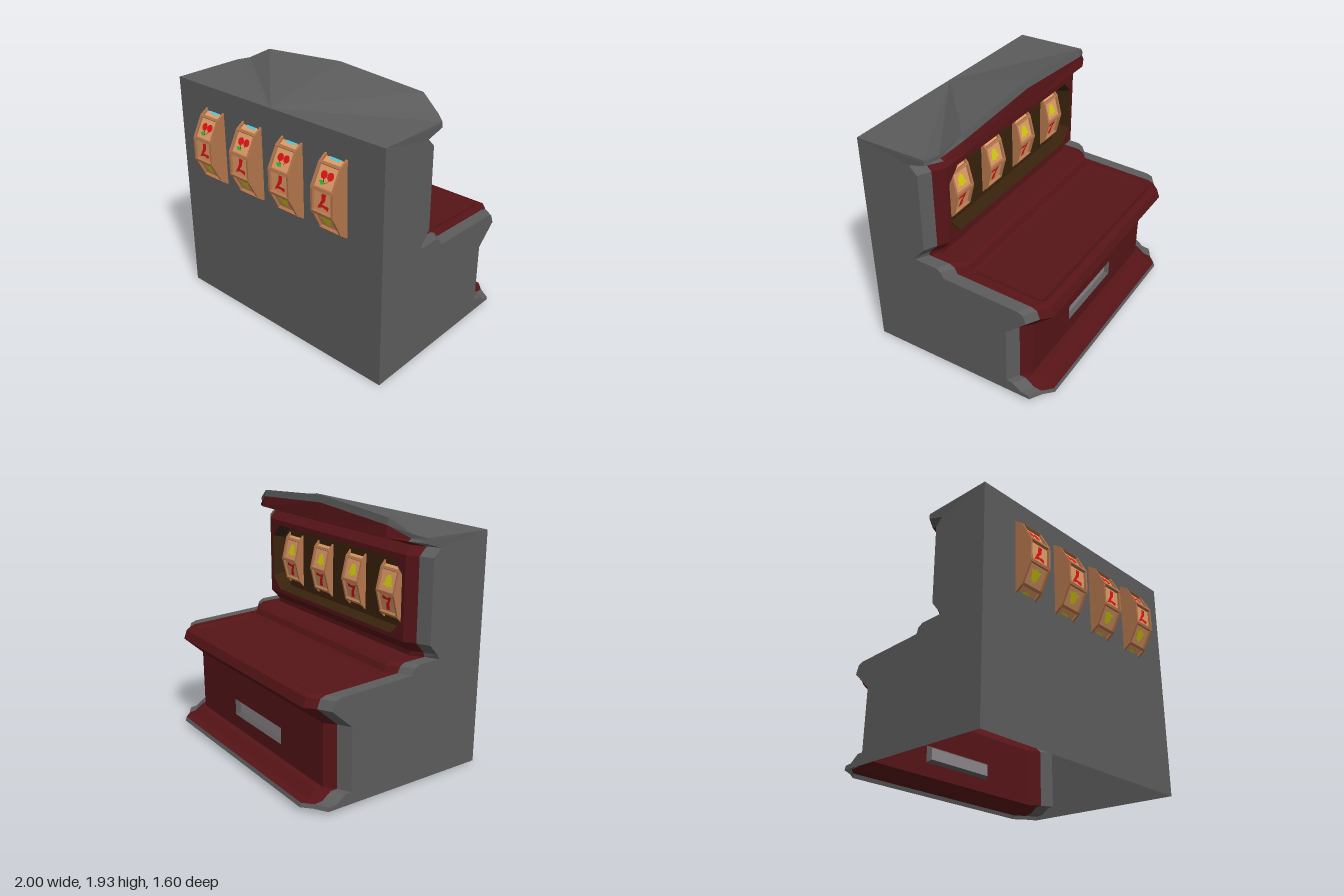
import * as THREE from 'three';

const mat = (color) => new THREE.MeshStandardMaterial({ color, flatShading: true, side: THREE.DoubleSide });
const GREY = mat(0x5c5c5c), RED = mat(0x561417), BROWN = mat(0x38220c), SLOT = mat(0x8c868a);
const TAN = mat(0xe09c68), FRAME = mat(0xb4764c), SCARLET = mat(0xe01414), GREEN = mat(0x2fb52f);
const YELLOW = mat(0xd8d010), CYAN = mat(0x4cc8d8), INK = mat(0x2a1a12);

function add(parent, name, geometry, material, x = 0, y = 0, z = 0) {
  const m = new THREE.Mesh(geometry, material);
  m.name = name;
  m.position.set(x, y, z);
  parent.add(m);
  return m;
}

// Mesh from a list of triangles and quads, each given by its corners
function faces(list) {
  const pos = [];
  for (const f of list)
    for (let i = 1; i < f.length - 1; i++) pos.push(...f[0], ...f[i], ...f[i + 1]);
  const g = new THREE.BufferGeometry();
  g.setAttribute('position', new THREE.Float32BufferAttribute(pos, 3));
  g.computeVertexNormals();
  return g;
}

const poly = (pts) => new THREE.Shape(pts.map(([x, y]) => new THREE.Vector2(x, y)));

// Cabinet profile on the centre line, bottom to top: [z, y]
const PROFILE = [
  [-0.80, 0.04], [-0.79, 0.07], [-0.73, 0.075], [-0.66, 0.125], [-0.61, 0.125], [-0.61, 0.60],
  [-0.77, 0.75], [-0.745, 0.815], [-0.70, 0.83], [-0.10, 0.84], [-0.08, 0.885], [-0.04, 0.905],
  [0.14, 0.905], [0.14, 0.94], [0.07, 1.02], [0.07, 1.63], [0.13, 1.69],
];
const LOWER = 4, TABLE = 8, UPPER = 14; // rows where the flat panels start
const BACK = 0.66, TOP = 1.76, PANEL_X = 0.83;

// Stations across the width: x, setback of the chamfered corner, cornice rows [x, y, z]
const STATIONS = [
  { x: 1, back: 0.12, top: [[1, 1.73, 0.1], [1, 1.745, 0.1], [1, 1.77, 0.1]] },
  { x: 0.91, back: 0.065, top: [[0.9, 1.74, 0.02], [0.91, 1.76, 0.04], [0.92, 1.79, 0.04]] },
  { x: PANEL_X, back: 0, top: [[0.76, 1.75, -0.05], [0.75, 1.83, -0.03], [0.75, 1.88, -0.02]] },
  { x: 0, back: 0, top: [[0, 1.75, -0.05], [0, 1.88, -0.03], [0, 1.935, -0.02]] },
];

// The side walls lean in slightly towards the player's side
const taper = (x, z) => x * (1 - 0.011 * (BACK - z));

// Flat panel between two profile rows with a hole and a recess behind it;
// hole corners are measured from the panel's first row
function panel(parent, name, row, hole, inner, depth, wallMat, backMat) {
  const [z0, y0] = PROFILE[row], [z1, y1] = PROFILE[row + 1];
  const g = new THREE.Group(), len = Math.hypot(z1 - z0, y1 - y0);
  g.name = name;
  g.position.set(0, y0, z0);
  g.rotation.x = Math.atan2(z1 - z0, y1 - y0);
  parent.add(g);
  const s = poly([[-PANEL_X, 0], [PANEL_X, 0], [PANEL_X, len], [-PANEL_X, len]]);
  s.holes.push(poly(hole));
  add(g, name + 'Panel', new THREE.ShapeGeometry(s), RED);
  const walls = hole.map((p, i) => {
    const j = (i + 1) % hole.length;
    return [[...p, 0], [...hole[j], 0], [...inner[j], depth], [...inner[i], depth]];
  });
  add(g, name + 'Walls', faces(walls), wallMat);
  add(g, name + 'Back', new THREE.ShapeGeometry(poly(inner)), backMat, 0, 0, depth);
}

function createCabinet() {
  const g = new THREE.Group();
  g.name = 'cabinet';
  const half = STATIONS.map((s) => [...PROFILE.map(([z, y], i) => {
    const back = s.back * (i >= UPPER - 1 ? 0.85 : 1);
    return [taper(s.x, z + back), y - back * 0.03, z + back];
  }), ...s.top]);
  // Only the outer station and chamfer lean; panel corners stay straight
  half[2].forEach((p, i) => { if (i < PROFILE.length) p[0] = PANEL_X; });
  const mirrored = half.slice(0, -1).reverse().map((c) => c.map(([x, y, z]) => [-x, y, z]));
  const cols = [...half, ...mirrored];
  const last = cols[0].length - 1, end = cols.length - 2;

  // Front skin: red middle, grey edge trim, base lip and cornice rim
  const red = [], grey = [];
  for (let j = 0; j <= end; j++)
    for (let i = 0; i < last; i++) {
      const flat = j > 1 && j < end - 1;
      if (flat && [LOWER, TABLE, UPPER].includes(i)) continue;
      const trim = j === 0 || j === end || i === 0 || i === last - 1;
      (trim ? grey : red).push([cols[j][i], cols[j + 1][i], cols[j + 1][i + 1], cols[j][i + 1]]);
    }
  add(g, 'redFront', faces(red), RED);
  add(g, 'edgeTrim', faces(grey), GREY);

  // Roof fan and back; the underside is open
  const apex = [0, TOP, BACK], roof = [[apex, [1, TOP, BACK], cols[0][last]]];
  for (let j = 0; j <= end; j++) roof.push([apex, cols[j][last], cols[j + 1][last]]);
  roof.push([apex, cols[end + 1][last], [-1, TOP, BACK]]);
  add(g, 'roof', faces(roof), GREY);
  add(g, 'back', faces([[[-1, 0, BACK], [1, 0, BACK], [1, TOP, BACK], [-1, TOP, BACK]]]), GREY);

  // Side walls follow the set-back profile
  const outline = cols[0].map(([, y, z]) => [-z, y]);
  const side = new THREE.ShapeGeometry(poly([[-BACK, 0], ...outline, [-BACK, TOP]])).rotateY(Math.PI / 2);
  const p = side.attributes.position;
  for (let i = 0; i < p.count; i++) p.setX(i, p.getY(i) > 1.7 ? 1 : taper(1, p.getZ(i)));
  add(g, 'leftSide', side, GREY);
  add(g, 'rightSide', side, GREY).scale.x = -1;

  // Reel window, table inset and payout slot
  const oct = (w, lo, hi, c) => [[-w + c, lo], [w - c, lo], [w, lo + c], [w, hi - c],
    [w - c, hi], [-w + c, hi], [-w, hi - c], [-w, lo + c]];
  const rect = (w, lo, hi) => [[-w, lo], [w, lo], [w, hi], [-w, hi]];
  panel(g, 'window', UPPER, oct(0.8, 0.03, 0.57, 0.1), oct(0.78, 0.05, 0.55, 0.1), 0.1, BROWN, BROWN);
  panel(g, 'table', TABLE, oct(0.825, 0.01, 0.59, 0.03), oct(0.8, 0.035, 0.565, 0.02), 0.012, RED, RED);
  panel(g, 'slot', LOWER, rect(0.32, 0.11, 0.24), rect(0.295, 0.13, 0.22), 0.03, GREY, SLOT);
  return g;
}

// Flat reel pictures, about 0.11 across
function createSymbol(kind) {
  const g = new THREE.Group();
  g.name = kind + 'Symbol';
  const flat = (name, pts, m, z = 0) => add(g, name, new THREE.ShapeGeometry(poly(pts)), m, 0, 0, z);
  if (kind === 'cherry') {
    for (const s of [-1, 1]) {
      add(g, 'fruit', new THREE.CircleGeometry(0.028, 12), SCARLET, s * 0.028, -0.014, 0.001);
      flat('stem', [[s * 0.028, 0.005], [s * 0.034, 0.005], [0.006, 0.045], [0, 0.045]], INK);
    }
    flat('leaf', [[0, 0.045], [0.02, 0.022], [0.055, 0.032], [0.03, 0.052]], GREEN, 0.001);
  } else if (kind === 'bolt') {
    flat('bolt', [[-0.05, 0.025], [-0.045, 0.055], [0, 0.04], [0.05, 0.055], [0.012, -0.01],
      [0.008, -0.058], [-0.03, -0.058], [-0.02, -0.01], [0.008, 0.022]], SCARLET);
  } else if (kind === 'bell') {
    flat('bell', [[-0.052, -0.036], [0.052, -0.036], [0.034, -0.012], [0.028, 0.024],
      [0.008, 0.044], [-0.008, 0.044], [-0.028, 0.024], [-0.034, -0.012]], YELLOW);
    add(g, 'clapper', new THREE.CircleGeometry(0.012, 10), YELLOW, 0, -0.038, 0.001);
  } else if (kind === 'gem') {
    flat('gem', [[0, -0.05], [0.06, 0.015], [0.035, 0.045], [-0.035, 0.045], [-0.06, 0.015]], CYAN);
  } else {
    add(g, 'lemon', new THREE.CircleGeometry(0.042, 12).scale(1.25, 1, 1), YELLOW);
  }
  return g;
}

// Thirteen-sided reel with rims, crossbars and a picture on every face
function createReel() {
  const g = new THREE.Group();
  g.name = 'reel';
  const kinds = ['bolt', 'cherry', 'gem', 'lemon', 'gem', 'lemon', 'bell',
    'bolt', 'cherry', 'gem', 'lemon', 'lemon', 'bell'];
  const N = kinds.length, R = 0.36, step = (2 * Math.PI) / N;
  const drum = (r, w) =>
    new THREE.CylinderGeometry(r, r, w, N, 1, false, step / 2).rotateZ(Math.PI / 2);
  add(g, 'drum', drum(R - 0.018, 0.17), TAN);
  for (const s of [-1, 1]) add(g, 'rim', drum(R, 0.016), FRAME, s * 0.09);
  const barGeo = new THREE.BoxGeometry(0.19, 0.02, 0.03);
  const d = (R - 0.018) * Math.cos(step / 2) + 0.003, barR = R - 0.014;
  kinds.forEach((kind, k) => {
    const a = k * step, v = a + step / 2;
    const bar = add(g, 'crossbar', barGeo, FRAME, 0, barR * Math.sin(v), barR * Math.cos(v));
    bar.rotation.x = -v;
    const symbol = createSymbol(kind);
    symbol.position.set(0, d * Math.sin(a), d * Math.cos(a));
    symbol.rotation.set(Math.PI - a, Math.PI, 0);
    g.add(symbol);
  });
  return g;
}

export function createModel() {
  const model = new THREE.Group();
  model.name = 'reelMachine';
  model.add(createCabinet());
  for (const x of [-0.6, -0.2, 0.2, 0.6]) {
    const reel = createReel();
    reel.position.set(x, 1.315, 0.45);
    model.add(reel);
  }
  return model;
}
